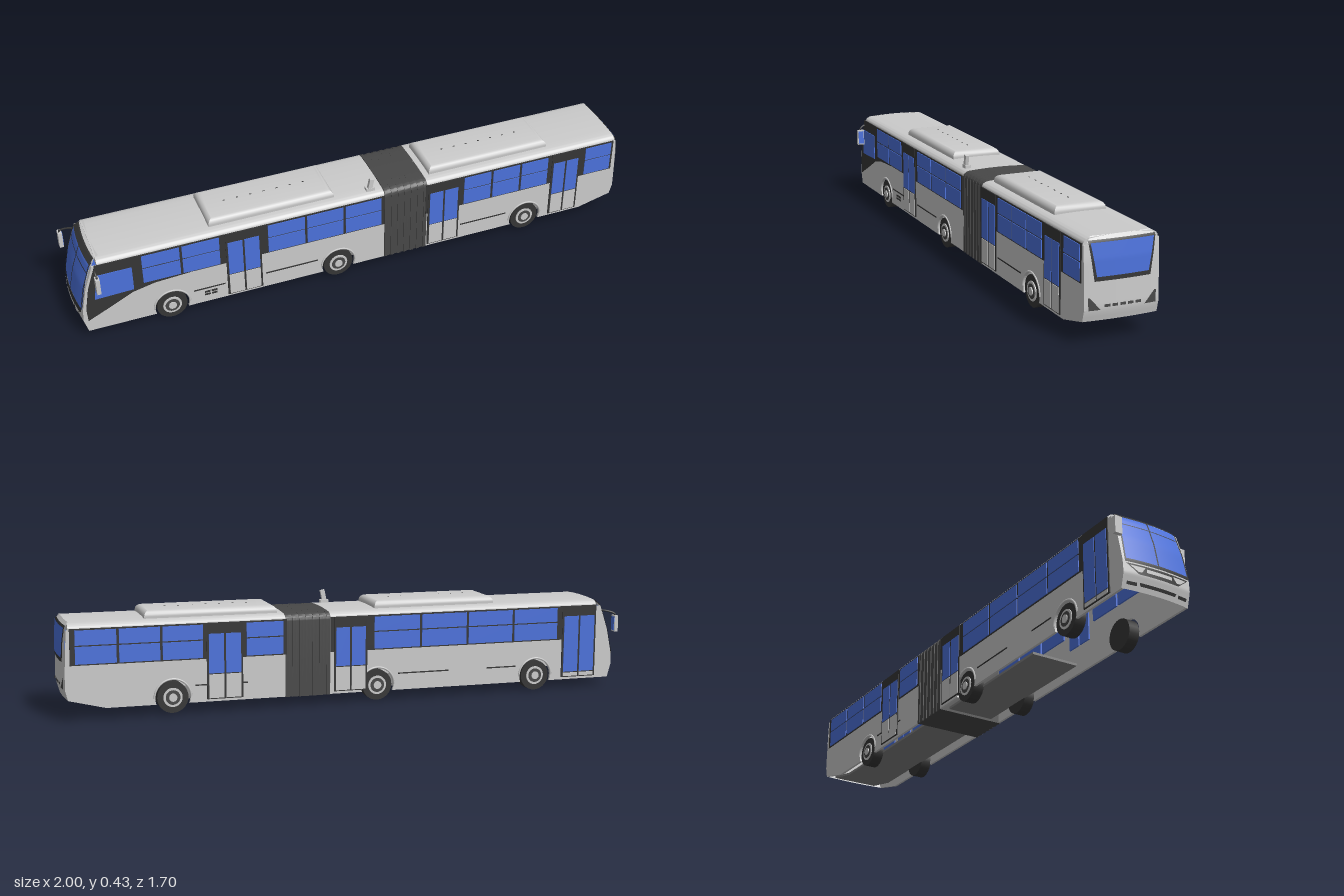
import * as THREE from 'three';
import { toCreasedNormals } from 'three/addons/utils/BufferGeometryUtils.js';

const paint = (color) => new THREE.MeshStandardMaterial({ color, side: THREE.DoubleSide });
const HALF = 0.145, WHEEL_Y = 0.067, BOTTOM = 0.042;
const lerp = THREE.MathUtils.lerp;

// piecewise linear lookup through [y, z] knots
function along(knots, y) {
  for (let i = 1; i < knots.length; i++) {
    const [y0, z0] = knots[i - 1], [y1, z1] = knots[i];
    if (y <= y1 || i === knots.length - 1) return lerp(z0, z1, (y - y0) / (y1 - y0));
  }
}
const NOSE = [[0.042, 1.15], [0.1, 1.166], [0.15, 1.163], [0.25, 1.142], [0.35, 1.108], [0.37, 1.088], [0.378, 1.068]];
const TAIL = [[0.075, 1.152], [0.12, 1.164], [0.3, 1.16], [0.36, 1.154], [0.378, 1.14]];
const noseZ = (x, y) => along(NOSE, y) - 0.012 * (x / HALF) ** 2;
const tailZ = (x, y) => -along(TAIL, y) + 0.008 * (x / HALF) ** 2;

export function createModel() {
  const root = new THREE.Group();
  const bus = new THREE.Group();
  bus.name = 'articulatedBus';
  root.add(bus);
  const grey = paint(0xcccccc), dark = paint(0x363636), rubber = paint(0x484848), steel = paint(0x808080), glass = paint(0x4c72dc);

  const add = (name, geo, mat, x = 0, y = 0, z = 0) => {
    const m = new THREE.Mesh(geo, mat);
    m.name = name;
    m.position.set(x, y, z);
    bus.add(m);
    return m;
  };
  const box = (name, mat, w, h, d, x, y, z) => add(name, new THREE.BoxGeometry(w, h, d), mat, x, y, z);

  // plate on a side wall, from s0 to s1 along the bus and y0 to y1; glass passes right through the wall
  const plate = (name, mat, side, s0, s1, y0, y1, out) => {
    const w = mat === glass ? 0.022 : 0.01;
    box(name, mat, w, y1 - y0, Math.abs(s1 - s0), side * (HALF + out - w / 2), (y0 + y1) / 2, (s0 + s1) / 2);
  };

  // side-profile shape (s, y) given thickness across the bus, its +x face at xMax
  const profile = (name, mat, shape, thick, xMax) => {
    const g = new THREE.ExtrudeGeometry(shape, { depth: thick, bevelEnabled: false, curveSegments: 14 });
    return add(name, g.rotateY(-Math.PI / 2), mat, xMax);
  };
  const poly = (pts) => new THREE.Shape(pts.map(([a, b]) => new THREE.Vector2(a, b)));

  // patch lying on the nose or tail; x edges given at the bottom and the top
  const skin = (name, mat, fn, y0, y1, [a0, b0], [a1, b1], out = 0) => {
    const g = new THREE.PlaneGeometry(1, 1, 12, 16), p = g.attributes.position;
    const dir = fn === noseZ ? 1 : -1;
    for (let i = 0; i < p.count; i++) {
      const u = 0.5 + dir * p.getX(i), v = p.getY(i) + 0.5;
      const x = lerp(lerp(a0, b0, u), lerp(a1, b1, u), v), y = lerp(y0, y1, v);
      p.setXYZ(i, x, y, fn(x, y) + dir * out);
    }
    g.computeVertexNormals();
    return add(name, g, mat);
  };

  // side walls with open wheel arches
  const wall = (start, end, wheels) => {
    const s = poly(start), R = 0.07, a = Math.asin((WHEEL_Y - BOTTOM) / R);
    for (const w of wheels) s.absarc(w, WHEEL_Y, R, Math.PI + a, -a, true);
    end.forEach(([x, y]) => s.lineTo(x, y));
    return s;
  };
  const noseEdge = [0.042, 0.1, 0.15, 0.25, 0.35].map((y) => [noseZ(HALF, y), y]);
  const tailEdge = [0.35, 0.2, 0.12, 0.078].map((y) => [tailZ(HALF, y), y]);
  const frontWall = wall([[-0.1, 0.35], [-0.1, BOTTOM]], noseEdge, [0.1, 0.8]);
  const rearWall = wall([...tailEdge, [-1.0, BOTTOM]], [[-0.28, BOTTOM], [-0.28, 0.35]], [-0.74]);
  for (const x of [HALF, -HALF + 0.01]) {
    profile('frontSideWall', grey, frontWall, 0.01, x);
    profile('rearSideWall', grey, rearWall, 0.01, x);
  }

  // roof
  const section = (w, bottom) => {
    const s = new THREE.Shape();
    s.moveTo(-w, bottom);
    s.lineTo(w, bottom);
    s.lineTo(w, 0.346);
    s.quadraticCurveTo(w, 0.37, w - 0.028, 0.374);
    s.quadraticCurveTo(0, 0.382, -w + 0.028, 0.374);
    s.quadraticCurveTo(-w, 0.37, -w, 0.346);
    return s;
  };
  const slab = (w, bottom, depth) =>
    toCreasedNormals(new THREE.ExtrudeGeometry(section(w, bottom), { depth, bevelEnabled: false, curveSegments: 8 }), 0.6);
  add('frontRoof', slab(HALF, 0.345, 1.175), grey, 0, 0, -0.1);
  add('rearRoof', slab(HALF, 0.345, 0.86), grey, 0, 0, -1.14);

  // bellows joint
  for (let i = 0; i < 13; i++) {
    add('bellowsFold', slab(i % 2 ? 0.142 : 0.1455, 0.04, 0.184 / 13), rubber, 0, 0, -0.286 + i * 0.184 / 13);
  }

  // floor between the wheels, rising at the tail and open under the cab
  profile('floor', steel, poly([[-1.145, 0.08], [-1.0, 0.05], [0.52, 0.05], [0.52, 0.06], [-1.0, 0.06], [-1.145, 0.09]]), 0.2, 0.1);

  // nose: lower panel, pillars, windscreen with its bars, grille, lamps, bumper slot
  skin('nose', grey, noseZ, 0.042, 0.15, [-HALF, HALF], [-HALF, HALF]);
  skin('noseTop', grey, noseZ, 0.346, 0.378, [-HALF, HALF], [-0.115, 0.115]);
  skin('windscreen', glass, noseZ, 0.15, 0.36, [-0.138, 0.138], [-0.13, 0.13], 0.002);
  skin('windscreenSill', dark, noseZ, 0.142, 0.156, [-0.14, 0.14], [-0.139, 0.139], 0.005);
  skin('windscreenHeader', dark, noseZ, 0.352, 0.372, [-0.133, 0.133], [-0.122, 0.122], 0.005);
  skin('windscreenBar', dark, noseZ, 0.314, 0.318, [-0.132, 0.132], [-0.132, 0.132], 0.005);
  skin('windscreenDivider', dark, noseZ, 0.15, 0.36, [-0.003, 0.003], [-0.003, 0.003], 0.005);
  for (const m of [1, -1]) {
    const r = (a, b) => (m > 0 ? [a, b] : [-b, -a]);
    skin('cornerPillar', grey, noseZ, 0.15, 0.346, r(0.136, HALF), r(0.13, HALF));
    skin('windscreenEdge', dark, noseZ, 0.15, 0.36, r(0.134, 0.14), r(0.127, 0.133), 0.005);
    skin('grilleWing', dark, noseZ, 0.1, 0.138, r(0.0, 0.085), r(0.0, 0.135), 0.003);
    skin('headlamp', grey, noseZ, 0.108, 0.13, r(0.075, 0.09), r(0.06, 0.122), 0.006);
    skin('fogLamp', dark, noseZ, 0.058, 0.07, r(0.09, 0.13), r(0.09, 0.13), 0.003);
  }
  skin('grilleBar', grey, noseZ, 0.112, 0.126, [-0.055, 0.055], [-0.055, 0.055], 0.006);
  skin('bumperSlot', dark, noseZ, 0.06, 0.072, [-0.075, 0.075], [-0.08, 0.08], 0.003);

  // tail: body, window, lamps, vents
  skin('tail', grey, tailZ, 0.078, 0.346, [-HALF, HALF], [-HALF, HALF]);
  skin('tailTop', grey, tailZ, 0.346, 0.378, [-HALF, HALF], [-0.115, 0.115]);
  skin('rearWindowFrame', dark, tailZ, 0.222, 0.366, [-0.108, 0.108], [-0.13, 0.13], 0.003);
  skin('rearWindow', glass, tailZ, 0.238, 0.358, [-0.1, 0.1], [-0.122, 0.122], 0.005);
  for (const m of [1, -1]) {
    skin('tailLamp', rubber, tailZ, 0.12, 0.165, m > 0 ? [0.085, 0.13] : [-0.13, -0.085], m > 0 ? [0.125, 0.132] : [-0.132, -0.125], 0.003);
  }
  for (let i = -2; i <= 2; i++) skin('tailVent', rubber, tailZ, 0.128, 0.138, [i * 0.03 - 0.011, i * 0.03 + 0.011], [i * 0.03 - 0.011, i * 0.03 + 0.011], 0.003);

  // window groups: two rows of panes on a dark band
  const windows = (side, s0, s1, n) => {
    const w = (s1 - s0) / n;
    for (let i = 0; i < n; i++) {
      const a = s0 + i * w + 0.005, b = s0 + (i + 1) * w - 0.005;
      plate('lowerPane', glass, side, a, b, 0.218, 0.286, 0.005);
      plate('upperPane', glass, side, a, b, 0.291, 0.349, 0.005);
    }
  };
  // double doors: glass above, grey panel below
  const door = (side, s0, s1, split = 0.155) => {
    plate('doorFrame', dark, side, s0, s1, 0.052, 0.355, 0.004);
    const mid = (s0 + s1) / 2;
    for (const [a, b] of [[s0 + 0.008, mid - 0.004], [mid + 0.004, s1 - 0.008]]) {
      plate('doorGlass', glass, side, a, b, split, 0.312, 0.006);
      plate('doorPanel', grey, side, a, b, 0.056, split - 0.004, 0.006);
    }
  };
  for (const side of [1, -1]) {
    plate('frontWindowBand', dark, side, -0.1, 1.075, 0.213, 0.355, 0.002);
    plate('rearWindowBand', dark, side, -1.135, -0.28, 0.213, 0.355, 0.002);
  }
  [[0.59, 0.91, 2], [-0.09, 0.4, 3], [-0.835, -0.445, 3], [-1.13, -1.0, 1]].forEach((w) => windows(1, ...w));
  [[0.08, 0.9, 4], [-0.45, -0.29, 1], [-1.12, -0.615, 3]].forEach((w) => windows(-1, ...w));
  [[0.425, 0.57], [-0.43, -0.29], [-0.98, -0.85]].forEach((d) => door(1, ...d));
  [[-0.085, 0.055], [-0.605, -0.46]].forEach((d) => door(-1, ...d));
  door(-1, 0.92, 1.075, 0.075);

  // driver's window in a dark sweep
  const sweep = poly([[1.085, 0.355], [0.72, 0.355], [0.72, 0.213], [0.86, 0.205], [0.95, 0.185], [1.03, 0.145], [1.135, 0.095], [1.138, 0.15], [1.12, 0.25]]);
  profile('driverSweep', dark, sweep, 0.005, HALF + 0.003);
  profile('driverWindow', glass, poly([[1.085, 0.308], [0.945, 0.308], [0.945, 0.2], [1.1, 0.195]]), 0.022, HALF + 0.006);

  // skirt trim lines and service grille
  for (const side of [1, -1]) {
    [[0.19, 0.41], [0.58, 0.71], [-0.65, -0.44]].forEach(([a, b]) => plate('skirtTrim', dark, side, a, b, 0.108, 0.113, 0.002));
  }
  for (let i = 0; i < 4; i++) plate('serviceGrille', dark, 1, 0.615 + (i % 2) * 0.028, 0.638 + (i % 2) * 0.028, i < 2 ? 0.075 : 0.088, i < 2 ? 0.083 : 0.096, 0.002);

  // wheels and arch lips
  for (const s of [0.8, 0.1, -0.74]) {
    for (const side of [1, -1]) {
      const disc = (name, mat, r, w, x) => add(name, new THREE.CylinderGeometry(r, r, w, 28).rotateZ(Math.PI / 2), mat, side * x, WHEEL_Y, s);
      disc('tyre', dark, 0.062, 0.045, 0.119);
      disc('rim', grey, 0.038, 0.004, 0.143);
      disc('rimDish', rubber, 0.029, 0.004, 0.144);
      disc('hub', grey, 0.016, 0.008, 0.146);
      add('archLip', new THREE.TorusGeometry(0.073, 0.004, 6, 24, Math.PI).rotateY(Math.PI / 2), grey, side * HALF, WHEEL_Y, s);
    }
  }

  // roof air-conditioning pods with sloping edges
  for (const [s0, s1] of [[0.1, 0.62], [-0.84, -0.31]]) {
    const w = 0.077, l = (s1 - s0) / 2 - 0.026;
    const g = new THREE.ExtrudeGeometry(poly([[-w, -l], [w, -l], [w, l], [-w, l]]),
      { depth: 0.008, bevelThickness: 0.024, bevelSize: 0.026, bevelSegments: 4 });
    add('roofPod', toCreasedNormals(g.rotateX(-Math.PI / 2), 0.6), grey, 0, 0.374, (s0 + s1) / 2);
    for (let i = -3; i <= 3; i++) box('podScrew', dark, 0.004, 0.002, 0.008, 0, 0.406, (s0 + s1) / 2 + i * 0.055);
  }

  // roof vent fin
  box('roofFinBase', grey, 0.022, 0.014, 0.035, 0.108, 0.38, -0.05);
  box('roofFin', grey, 0.014, 0.045, 0.018, 0.11, 0.405, -0.053).rotation.x = -0.2;

  // mirrors on curved arms
  for (const [side, x, z] of [[1, 0.168, 1.085], [-1, 0.165, 1.155]]) {
    const path = new THREE.CatmullRomCurve3([[0.13, 0.33, 1.085], [(x + 0.13) / 2 + 0.005, 0.328, (z + 1.09) / 2], [x, 0.315, z], [x, 0.29, z]]
      .map(([a, b, c]) => new THREE.Vector3(side * a, b, c)));
    add('mirrorArm', new THREE.TubeGeometry(path, 12, 0.004, 6), dark);
    box('mirror', grey, 0.03, 0.068, 0.016, side * x, 0.276, z);
    box('mirrorGlass', glass, 0.024, 0.058, 0.004, side * x, 0.276, z - 0.008);
  }

  // the bus stands diagonally with a slight nose-down pitch
  bus.rotation.order = 'YXZ';
  bus.rotation.set(0.006, -0.88, 0);
  bus.position.set(0.014, 0, 0.006);
  return root;
}
